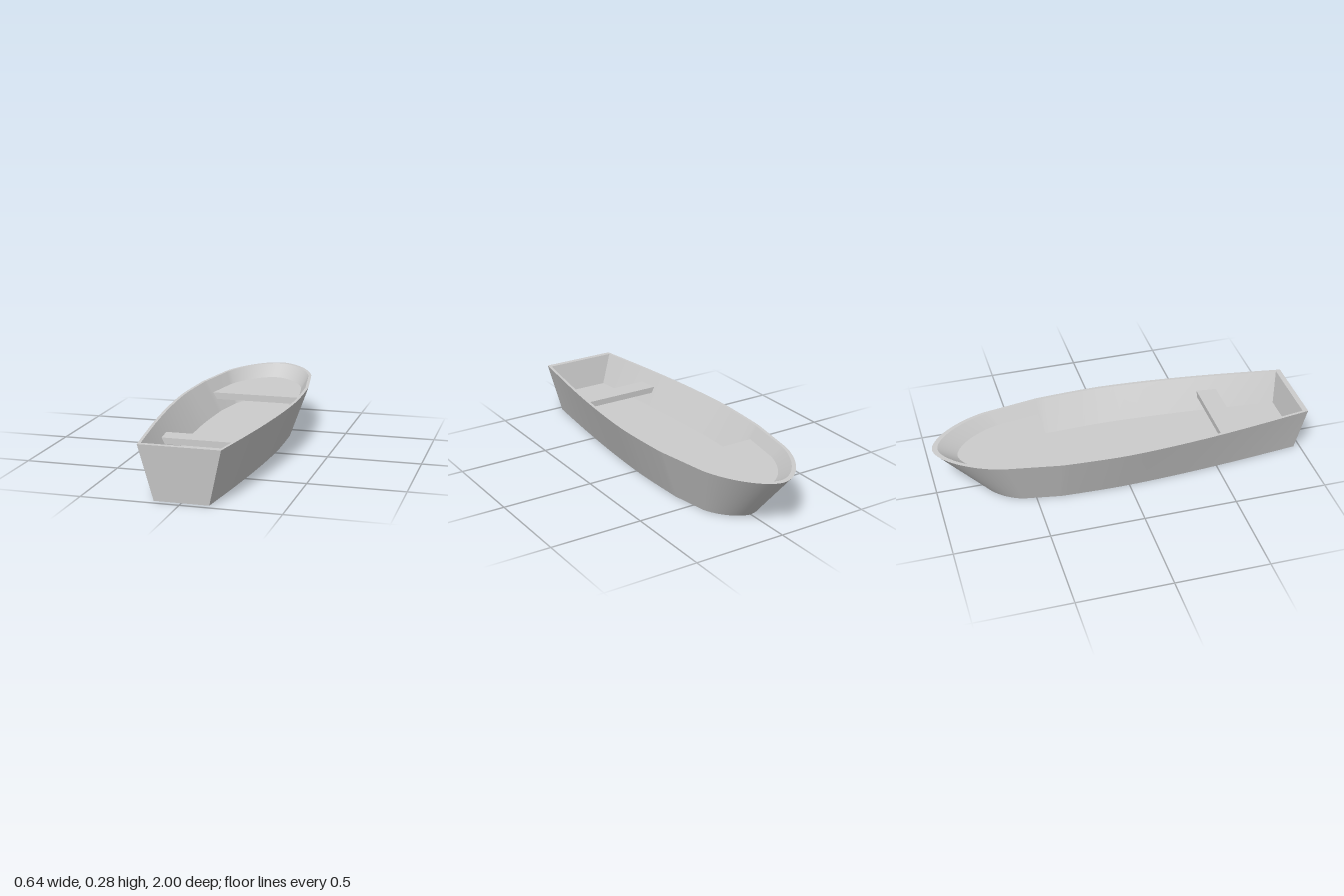
import * as THREE from 'three';
import { toCreasedNormals } from 'three/addons/utils/BufferGeometryUtils.js';

const H = 0.283;      // gunwale height
const FLOOR = 0.12;   // inside floor height
const V = (x, z) => new THREE.Vector2(x, z);

// Half outline of the gunwale (x, z): stern -> midship, shoulder, rounded bow
const sections = [
  new THREE.SplineCurve([V(0.206, 1), V(0.263, 0.62), V(0.3, 0.3), V(0.32, 0), V(0.317, -0.2), V(0.307, -0.38)]),
  new THREE.LineCurve(V(0.307, -0.38), V(0.256, -0.68)),
  new THREE.CubicBezierCurve(V(0.256, -0.68), V(0.213, -0.85), V(0.09, -1), V(0, -1)),
];

// Matching z at the bottom, piecewise linear between the section joints
const zTop = [1, -0.38, -0.68, -1];
const zBottom = [0.967, -0.37, -0.57, -0.74];
function bottomZ(z, s) {
  const f = (z - zTop[s]) / (zTop[s + 1] - zTop[s]);
  return THREE.MathUtils.lerp(zBottom[s], zBottom[s + 1], f);
}

// Outline point at u (0 stern .. 3 bow tip) and depth (0 gunwale .. 1 bottom)
function outline(u, depth) {
  const s = Math.min(Math.floor(u), 2);
  const p = sections[s].getPoint(u - s);
  return V(p.x * (1 - 0.33 * depth), THREE.MathUtils.lerp(p.y, bottomZ(p.y, s), depth));
}

// The cavity repeats the outer outline, slightly smaller
const OUTER = [1, 1], INNER = [0.95, 0.972];

// Closed mirrored ring at height y
function ring(y, depth, [sx, sz], u0 = 0, u1 = 3, n = 48) {
  const half = [];
  for (let i = 0; i <= n; i++) {
    const p = outline(u0 + (u1 - u0) * i / n, depth);
    half.push([p.x * sx, y, p.y * sz]);
  }
  return half.concat(half.map(([x, h, z]) => [-x, h, z]).reverse());
}

// Skin a stack of rings and close both ends
function loft(rings) {
  const n = rings[0].length, idx = [];
  for (let r = 0; r < rings.length - 1; r++) {
    for (let i = 0; i < n; i++) {
      const j = (i + 1) % n, a = r * n, b = a + n;
      idx.push(a + i, a + j, b + j, a + i, b + j, b + i);
    }
  }
  const last = (rings.length - 1) * n;
  for (let i = 0; i < n / 2 - 1; i++) {
    const k = n - 1 - i;
    idx.push(i, k, k - 1, i, k - 1, i + 1);
    idx.push(last + i, last + i + 1, last + k - 1, last + i, last + k - 1, last + k);
  }
  const geo = new THREE.BufferGeometry();
  geo.setAttribute('position', new THREE.Float32BufferAttribute(rings.flat(2), 3));
  geo.setIndex(idx);
  return toCreasedNormals(geo, 0.5);
}

// Find u where the cavity reaches a given z
function uAt(z, depth) {
  let lo = 0, hi = 3;
  for (let i = 0; i < 40; i++) {
    const mid = (lo + hi) / 2;
    if (outline(mid, depth).y * INNER[1] > z) lo = mid; else hi = mid;
  }
  return lo;
}

// Upright-edged board filling the cavity between two z values
function board(top, thick, zBack, zFront) {
  const depth = (H - top) / (H - FLOOR);
  const u0 = uAt(zBack, depth), u1 = uAt(zFront, depth);
  return loft([top - thick, top].map((y) => ring(y, depth, INNER, u0, u1, 30)));
}

export function createModel() {
  const group = new THREE.Group();
  group.name = 'rowingBoat';
  const material = new THREE.MeshStandardMaterial({ color: 0xcccccc });
  const add = (name, geo) => {
    const mesh = new THREE.Mesh(geo, material);
    mesh.name = name;
    group.add(mesh);
  };

  // Hull: outside, flat gunwale, inside and raised floor in one skin
  add('hull', loft([ring(0, 1, OUTER), ring(H, 0, OUTER), ring(H, 0, INNER), ring(FLOOR, 1, INNER)]));
  // Bow platform and stern thwart
  add('bowPlatform', board(0.218, 0.037, -0.385, -1));
  add('sternSeat', board(0.217, 0.033, 0.625, 0.515));
  return group;
}
